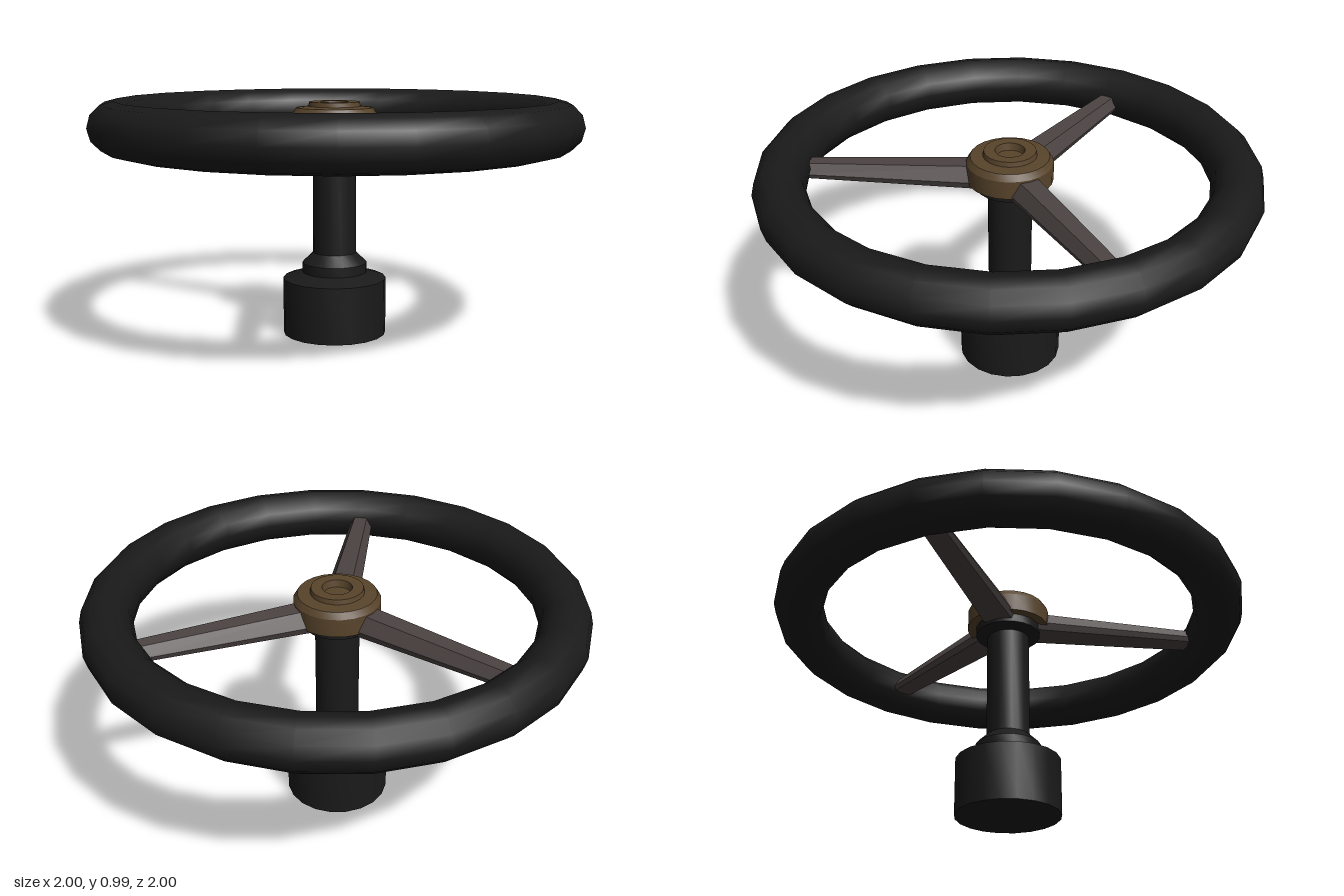
import * as THREE from 'three';
import { toCreasedNormals } from 'three/addons/utils/BufferGeometryUtils.js';

const RIM_Y = 0.885;

const paint = (color) => new THREE.MeshStandardMaterial({ color });

function part(name, geometry, material) {
  const mesh = new THREE.Mesh(geometry, material);
  mesh.name = name;
  return mesh;
}

// Turned part with sharp edges kept at its steps
function turned(profile, sides) {
  const points = profile.map(([r, y]) => new THREE.Vector2(r, y));
  return toCreasedNormals(new THREE.LatheGeometry(points, sides), 0.5);
}

// Bevelled bar running along +z, tapering from the hub to the rim
function spokeGeometry() {
  const start = 0.1, end = 0.83;
  const section = [[-0.06, -0.045], [0.06, -0.045], [0.072, -0.015], [0.04, 0.045], [-0.04, 0.045], [-0.072, -0.015]];
  const shape = new THREE.Shape(section.map(([x, y]) => new THREE.Vector2(x, y)));
  const geometry = new THREE.ExtrudeGeometry(shape, { depth: 1, bevelEnabled: false });
  const p = geometry.attributes.position;
  for (let i = 0; i < p.count; i++) {
    const t = p.getZ(i);
    p.setXYZ(i, p.getX(i) * (1 - 0.32 * t), p.getY(i) * (1 - 0.35 * t), start + t * (end - start));
  }
  return toCreasedNormals(geometry, 0.4);
}

export function createModel() {
  const model = new THREE.Group();
  model.name = 'steeringWheel';
  const black = paint(0x1a1a1a);
  const brown = paint(0x58442b);
  const metal = paint(0x4c4443);

  // Rim lying flat
  const rim = part('rim', new THREE.TorusGeometry(0.897, 0.103, 12, 24).rotateX(Math.PI / 2), black);
  rim.position.y = RIM_Y;
  model.add(rim);

  // Everything on the central axis
  const centre = new THREE.Group();
  centre.name = 'centre';
  centre.position.set(-0.006, 0, -0.004);
  model.add(centre);

  // Column with wide foot, stepped collar and flange under the hub
  centre.add(part('column', turned([
    [0, 0], [0.216, 0], [0.216, 0.236], [0.135, 0.262], [0.135, 0.302],
    [0.09, 0.345], [0.09, 0.8], [0.115, 0.805], [0.137, 0.815], [0.137, 0.86], [0, 0.86],
  ], 20), black));

  // Hub cap with raised ring and central recess
  centre.add(part('hub', turned([
    [0, 0.85], [0.174, 0.85], [0.174, 0.925], [0.158, 0.95], [0.108, 0.955],
    [0.104, 0.974], [0.06, 0.974], [0.054, 0.945], [0, 0.945],
  ], 24), brown));

  // Three spokes, one to the front
  const spoke = spokeGeometry();
  for (let i = 0; i < 3; i++) {
    const mesh = part('spoke' + (i + 1), spoke, metal);
    mesh.position.y = 0.873;
    mesh.rotation.y = (i * Math.PI * 2) / 3;
    centre.add(mesh);
  }
  return model;
}
